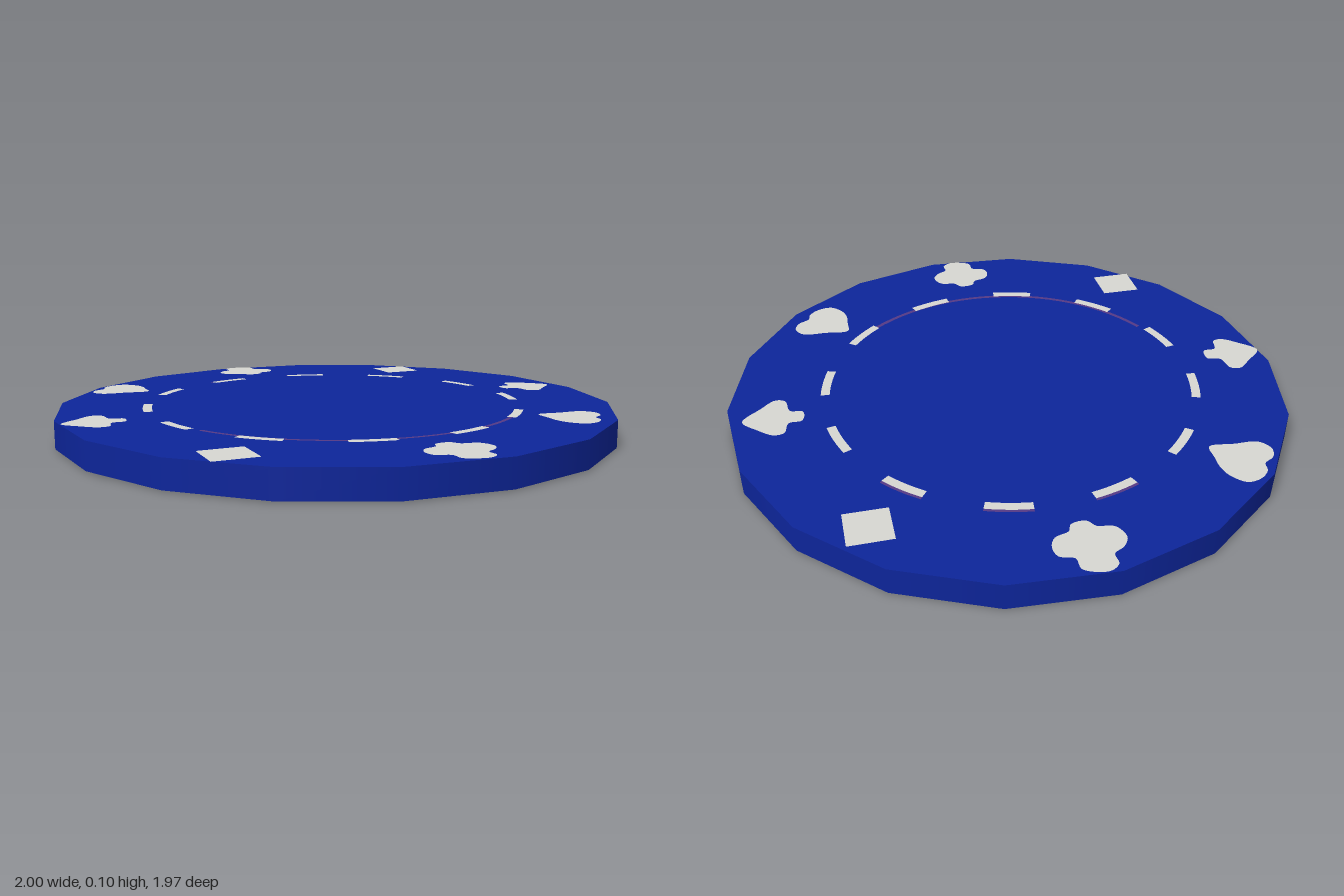
import * as THREE from 'three';

const HEIGHT = 0.096;
const DEG = Math.PI / 180;

function material(name, color, offset = 0) {
  const m = new THREE.MeshStandardMaterial({ color });
  m.name = name;
  return m;
}

// Closed outline in the plane of the face (x right, y towards the back)
function outline(points, smooth = true) {
  const pts = points.map(([x, y]) => new THREE.Vector3(x, y, 0));
  const path = smooth ? new THREE.CatmullRomCurve3(pts, true).getPoints(64).slice(0, -1) : pts;
  return new THREE.ShapeGeometry(new THREE.Shape(path.map((p) => new THREE.Vector2(p.x, p.y))));
}

// Flat arc band, angles in degrees
function band(inner, outer, from, to) {
  const segments = Math.max(6, Math.ceil((to - from) / 4));
  return new THREE.RingGeometry(inner, outer, segments, 1, from * DEG, (to - from) * DEG);
}

const SUITS = {
  spade: [[0.945, 0.078], [0.89, 0.135], [0.835, 0.172], [0.80, 0.165], [0.785, 0.11], [0.74, 0.102],
    [0.737, 0.048], [0.782, 0.037], [0.80, -0.025], [0.835, -0.035], [0.885, 0.01]],
  heart: [[-0.604, 0.473], [-0.69, 0.473], [-0.775, 0.475], [-0.807, 0.515], [-0.795, 0.56], [-0.757, 0.588],
    [-0.75, 0.625], [-0.715, 0.66], [-0.665, 0.67], [-0.62, 0.63], [-0.604, 0.585], [-0.602, 0.53]],
  club: [[-0.10, 0.98], [-0.055, 0.96], [-0.047, 0.915], [0, 0.90], [0.012, 0.86], [-0.005, 0.82],
    [-0.052, 0.80], [-0.065, 0.77], [-0.115, 0.762], [-0.14, 0.79], [-0.195, 0.80], [-0.22, 0.85],
    [-0.20, 0.89], [-0.165, 0.915], [-0.168, 0.955], [-0.14, 0.98]],
  diamond: [[0.61, 0.757], [0.462, 0.747], [0.473, 0.603], [0.62, 0.612]],
};

// Printed decoration of one face, lying at y = 0 and facing up
function createFace(light, purple) {
  const face = new THREE.Group();
  const add = (name, geometry, mat, lift, x = 0, z = 0) => {
    geometry.rotateX(-Math.PI / 2);
    const mesh = new THREE.Mesh(geometry, mat);
    mesh.name = name;
    mesh.position.set(x, lift, z);
    face.add(mesh);
  };

  // Each suit appears twice, half a turn apart
  for (const [name, points] of Object.entries(SUITS)) {
    for (const turn of [0, Math.PI]) {
      const geometry = outline(points, name !== 'diamond');
      geometry.translate(0.02, 0, 0).rotateZ(turn).translate(-0.02, 0, 0);
      add(name, geometry, light, 0.003);
    }
  }

  // Ring of dashes
  for (let i = 0; i < 12; i++) {
    const a = 20 + i * 30;
    add('dash', band(0.654, 0.686, a - 6.6, a + 6.6), light, 0.003, -0.01);
  }

  // Thin purple line beside the dashes
  add('purpleArc', band(0.662, 0.677, -150, -35), purple, 0.0015, 0, -0.013);
  for (const a of [50, 80, 110]) {
    add('purpleEdge', band(0.684, 0.695, a - 6.6, a + 6.6), purple, 0.0015, -0.01);
  }
  return face;
}

export function createModel() {
  const blue = material('blue', 0x0d259a);
  const light = material('lightGrey', 0xd8d8d2);
  const purple = material('purple', 0x553a86);

  const model = new THREE.Group();
  model.name = 'chip';

  // Eighteen-sided disc with a corner on the x axis
  const body = new THREE.Mesh(
    new THREE.CylinderGeometry(1, 1, HEIGHT, 18, 1, false, Math.PI / 18), blue);
  body.name = 'disc';
  body.position.y = 0.003 + HEIGHT / 2;
  model.add(body);

  const top = createFace(light, purple);
  top.name = 'topFace';
  top.position.y = 0.003 + HEIGHT;
  model.add(top);

  // Underside: the same print flipped over a slanted horizontal axis
  const bottom = createFace(light, purple);
  bottom.name = 'bottomFace';
  bottom.quaternion.setFromAxisAngle(
    new THREE.Vector3(Math.cos(37 * DEG), 0, -Math.sin(37 * DEG)), Math.PI);
  bottom.position.y = 0.003;
  model.add(bottom);

  return model;
}
